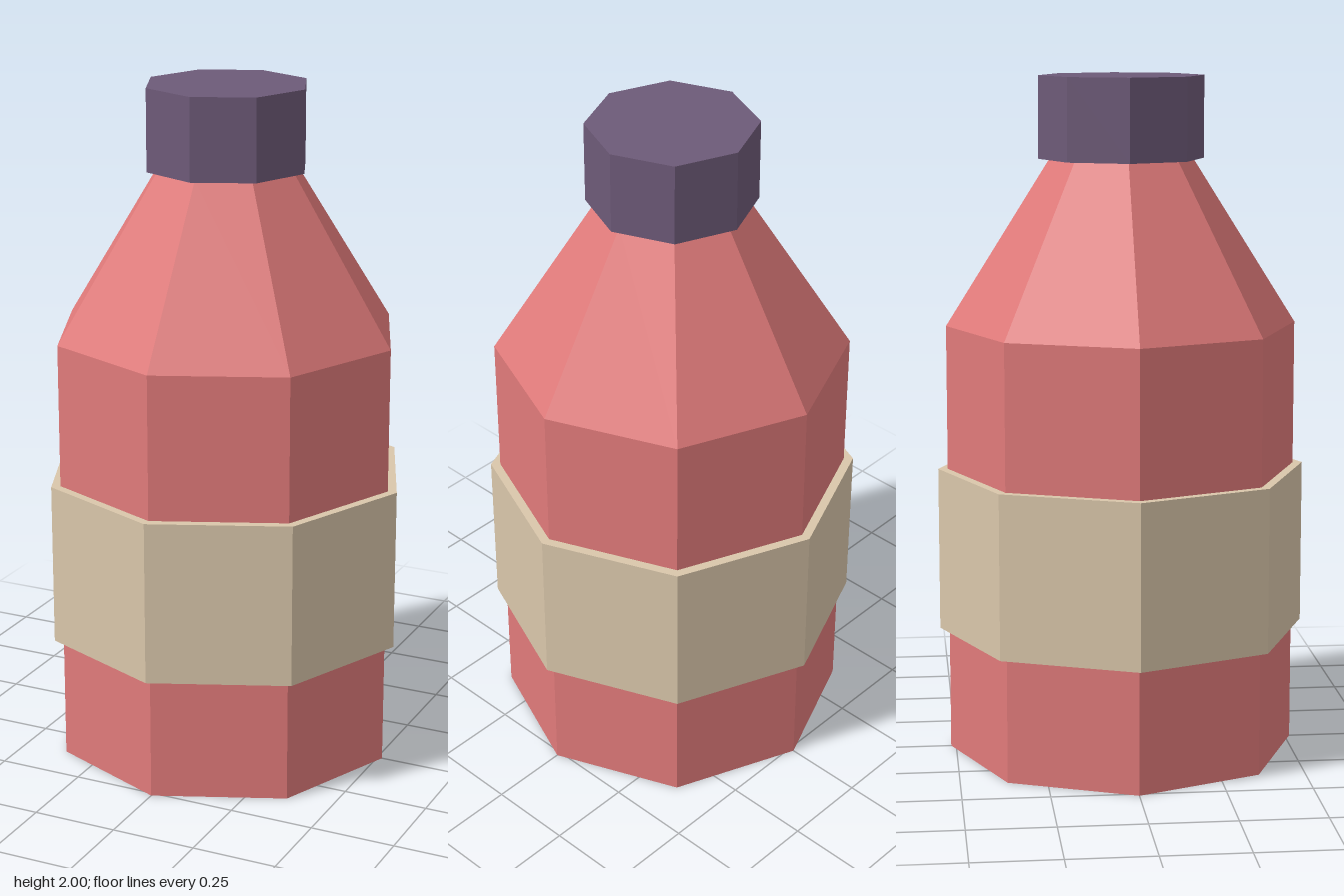
import * as THREE from 'three';

const SIDES = 8;

function flat(name, color) {
  const m = new THREE.MeshStandardMaterial({ color, flatShading: true });
  m.name = name;
  return m;
}

export function createModel() {
  const red = flat('bottleRed', 0xe07a7a);
  const cream = flat('labelCream', 0xd9c6aa);
  const purple = flat('capPurple', 0x6d5a78);

  const bottle = new THREE.Group();
  bottle.name = 'bottle';

  const add = (name, geometry, material) => {
    const mesh = new THREE.Mesh(geometry, material);
    mesh.name = name;
    bottle.add(mesh);
  };

  // Octagonal turned part from [radius, height] pairs, bottom to top
  const turned = (profile) =>
    new THREE.LatheGeometry(profile.map(([r, y]) => new THREE.Vector2(r, y)), SIDES);

  // Body with tapered shoulder, closed at the base and under the cap
  add('body', turned([[0, 0], [0.515, 0], [0.515, 1.275], [0.21, 1.76], [0, 1.76]]), red);

  // Label band wrapped round the body
  add('labelBand', turned([[0.515, 0.367], [0.543, 0.367], [0.543, 0.85], [0.515, 0.85]]), cream);

  // Screw cap
  add('cap', turned([[0, 1.76], [0.242, 1.76], [0.242, 2], [0, 2]]), purple);

  return bottle;
}
